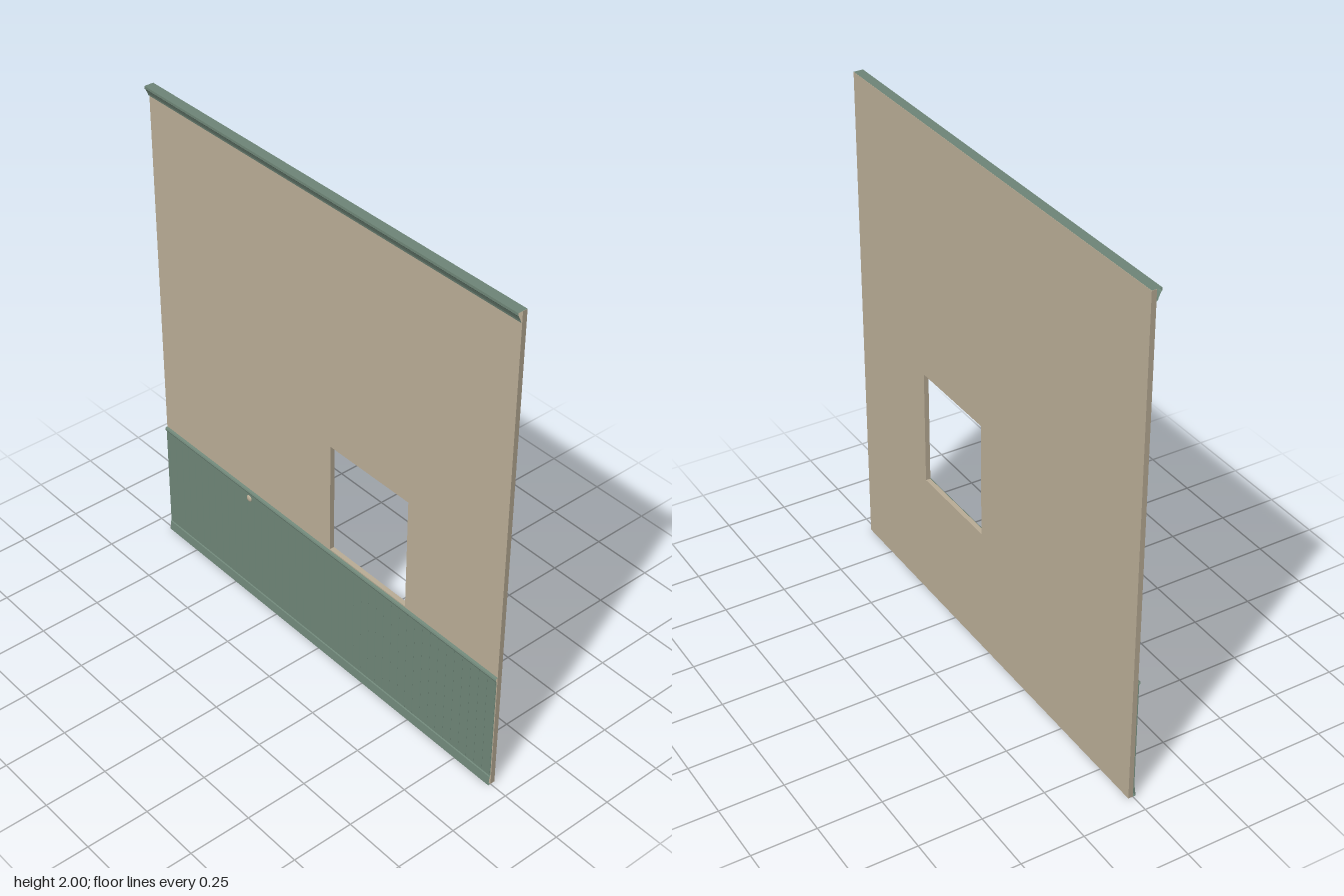
import * as THREE from 'three';

const HALF = 0.925;   // half the wall width
const BACK = -0.019;  // rear face of the wall; its front is z = 0

const wallPaint = new THREE.MeshStandardMaterial({ color: 0xbbae97 });
wallPaint.name = 'beige wall paint';
const trimPaint = new THREE.MeshStandardMaterial({ color: 0x6f8678, side: THREE.DoubleSide });
trimPaint.name = 'sage green trim';

// Flat-shaded ribbon between two matching rows of points
function ribbon(rowA, rowB) {
  const pos = [];
  for (let i = 0; i < rowA.length - 1; i++) {
    const [a, b, c, d] = [rowA[i], rowB[i], rowB[i + 1], rowA[i + 1]];
    pos.push(...a, ...b, ...c, ...a, ...c, ...d);
  }
  const g = new THREE.BufferGeometry();
  g.setAttribute('position', new THREE.Float32BufferAttribute(pos, 3));
  g.computeVertexNormals();
  return g;
}

// Moulding: a [z, y] profile listed from top to bottom, run along the wall
function moulding(profile) {
  const row = (x) => profile.map(([z, y]) => [x, y, z]);
  return ribbon(row(HALF), row(-HALF)).scale(1, 1, 1);
}

// Beadboard: flat boards separated by V grooves
function beadboard(y0, y1) {
  const front = 0.004, deep = 0.0005, half = 0.004, count = 46, step = 0.0406;
  const pts = [[-HALF, front]];
  for (let i = 0; i < count; i++) {
    const x = -0.909 + i * step;
    pts.push([x - half, front], [x, deep], [x + half, front]);
  }
  pts.push([HALF, front]);
  const row = (y) => pts.map(([x, z]) => [x, y, z]);
  return ribbon(row(y1), row(y0));
}

export function createModel() {
  const group = new THREE.Group();
  group.name = 'wallSection';
  const add = (name, geometry, material) => {
    const mesh = new THREE.Mesh(geometry, material);
    mesh.name = name;
    group.add(mesh);
    return mesh;
  };

  // Wall slab with a window opening
  const shape = new THREE.Shape([
    [-HALF, 0], [HALF, 0], [HALF, 1.999], [-HALF, 1.999],
  ].map(([x, y]) => new THREE.Vector2(x, y)));
  shape.holes.push(new THREE.Path([
    [0.053, 0.517], [0.053, 0.984], [0.458, 0.984], [0.458, 0.517],
  ].map(([x, y]) => new THREE.Vector2(x, y))));
  const slab = new THREE.ExtrudeGeometry(shape, { depth: -BACK, bevelEnabled: false });
  add('wall', slab.translate(0, 0, BACK), wallPaint);

  // Wainscot: boards, skirting and rail
  add('beadboard', beadboard(0.035, 0.495), trimPaint);
  add('baseboard', moulding([[0.004, 0.042], [0.007, 0.038], [0.011, 0], [0, 0]]), trimPaint);
  add('chairRail', moulding([
    [0, 0.512], [0.008, 0.509], [0.01, 0.503], [0.008, 0.496], [0.004, 0.492],
  ]), trimPaint);

  // Crown moulding, also capping the top of the wall
  add('crown', moulding([
    [BACK, 2], [0.019, 2], [0.019, 1.99], [0.015, 1.985], [0.007, 1.968],
    [0.005, 1.96], [0, 1.957],
  ]), trimPaint);

  // Small round knob on the wainscot
  const knob = add('knob', new THREE.SphereGeometry(0.014, 16, 10), wallPaint);
  knob.scale.z = 0.4;
  knob.position.set(-0.41, 0.47, 0.004);

  return group;
}
